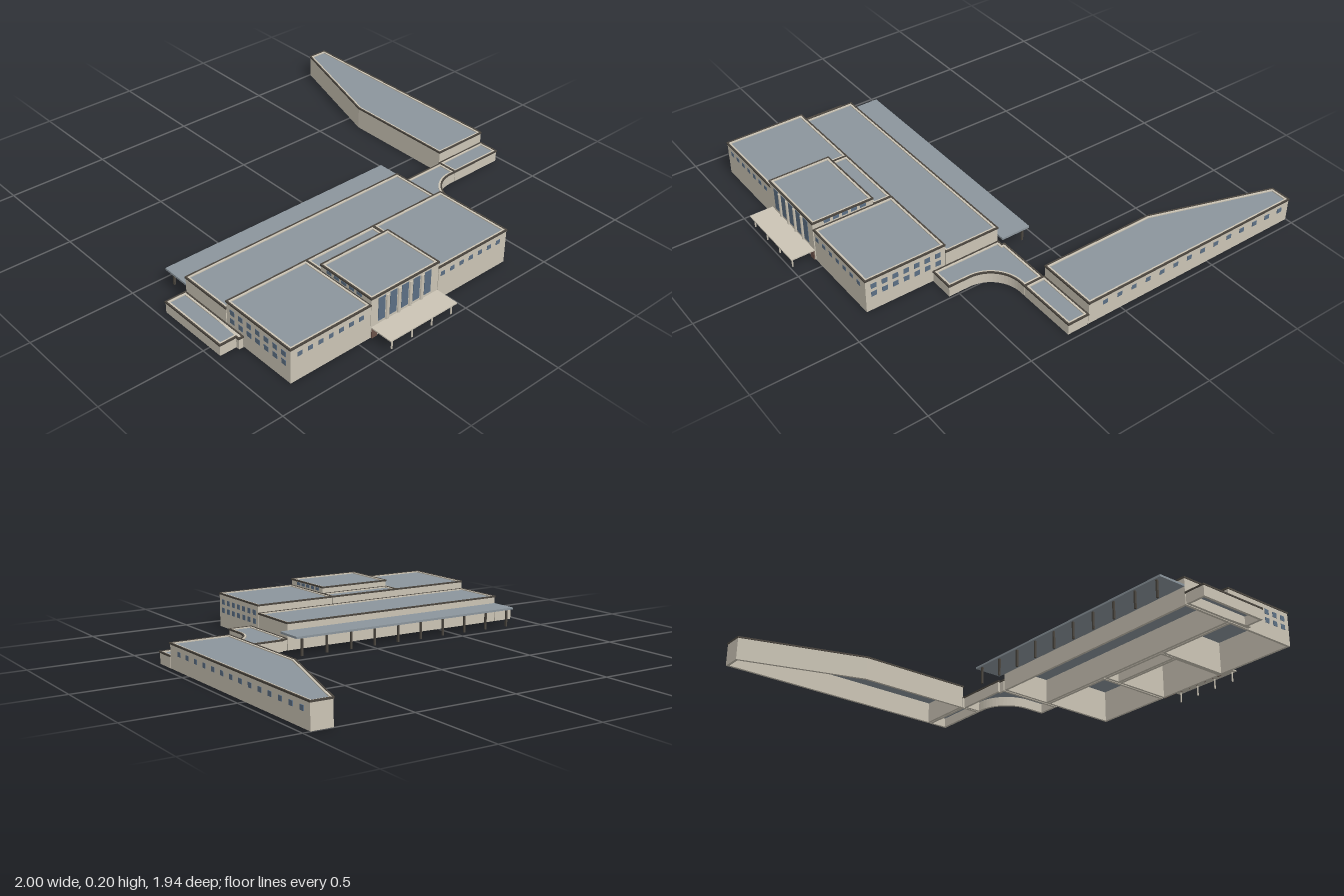
import * as THREE from 'three';

const mat = (name, color) => {
  const m = new THREE.MeshStandardMaterial({ color });
  m.name = name;
  return m;
};

export function createModel() {
  const model = new THREE.Group();
  model.name = 'building';
  const wall = mat('beige wall', 0xcbc4b5);
  const roof = mat('slate roof', 0x8b959c);
  const trim = mat('dark trim', 0x4b463f);
  const glass = mat('blue glass', 0x5c6f84);
  const brown = mat('brown entrance', 0x6a5249);

  const add = (parent, name, geo, material) => {
    const mesh = new THREE.Mesh(geo, material);
    mesh.name = name;
    parent.add(mesh);
    return mesh;
  };
  const box = (parent, name, material, x0, x1, y0, y1, z0, z1) => {
    const m = add(parent, name, new THREE.BoxGeometry(x1 - x0, y1 - y0, z1 - z0), material);
    m.position.set((x0 + x1) / 2, (y0 + y1) / 2, (z0 + z1) / 2);
    return m;
  };

  // Move an outline of [x, z] points inwards by d, with mitred corners
  const inset = (pts, d) => {
    const n = pts.length;
    let area = 0;
    pts.forEach((p, i) => {
      const q = pts[(i + 1) % n];
      area += p[0] * q[1] - q[0] * p[1];
    });
    const s = Math.sign(area);
    const normal = (a, b) => {
      const l = Math.hypot(b[0] - a[0], b[1] - a[1]);
      return [-s * (b[1] - a[1]) / l, s * (b[0] - a[0]) / l];
    };
    return pts.map((p, i) => {
      const a = normal(pts[(i + n - 1) % n], p);
      const b = normal(p, pts[(i + 1) % n]);
      const k = d / (1 + a[0] * b[0] + a[1] * b[1]);
      return [p[0] + (a[0] + b[0]) * k, p[1] + (a[1] + b[1]) * k];
    });
  };

  // Upright prism under the height top, hollow when a hole outline is given
  const prism = (outer, hole, top, depth) => {
    const v = (pts) => pts.map((p) => new THREE.Vector2(p[0], p[1]));
    const shape = new THREE.Shape(v(outer));
    if (hole) shape.holes.push(new THREE.Path(v(hole)));
    const g = new THREE.ExtrudeGeometry(shape, { depth, bevelEnabled: false });
    return g.rotateX(Math.PI / 2).translate(0, top, 0);
  };

  // Block: hollow walls, a sunken roof slab and a dark coping
  const block = (name, pts, h) => {
    const g = new THREE.Group();
    g.name = name;
    model.add(g);
    add(g, 'walls', prism(pts, inset(pts, 0.013), h, h), wall);
    add(g, 'roofSlab', prism(inset(pts, 0.012), null, h - 0.005, 0.006), roof);
    add(g, 'coping', prism(inset(pts, -0.003), inset(pts, 0.004), h + 0.002, 0.008), trim);
    return g;
  };
  const rect = (x0, x1, z0, z1) => [[x0, z0], [x1, z0], [x1, z1], [x0, z1]];

  // Main masses
  block('longHall', rect(0.2, 0.475, -0.367, 0.86), 0.131);
  const north = block('northBlock', rect(0.48, 0.88, -0.367, 0.05), 0.17);
  const south = block('southBlock', rect(0.48, 0.88, 0.438, 0.86), 0.17);
  block('middleBlock', rect(0.48, 0.572, 0.055, 0.436), 0.17);
  const tower = block('entranceTower', rect(0.575, 0.882, 0.055, 0.438), 0.202);
  block('southAnnex', [[0.2, 0.864], [0.588, 0.864], [0.588, 0.885], [0.57, 0.885],
    [0.57, 0.967], [0.2, 0.967]], 0.056);

  // Tapered wing and the link with its curved corner
  const wing = block('taperedWing', [[-0.997, -0.965], [0.178, -0.968], [0.178, -0.677],
    [-0.4, -0.677], [-0.997, -0.865]], 0.115);
  block('wingLink', rect(0.181, 0.285, -0.969, -0.677), 0.057);
  const link = [[0.187, -0.674], [0.285, -0.674]];
  for (let i = 0; i <= 14; i++) {
    const a = (i / 14) * Math.PI / 2;
    link.push([0.44 - 0.155 * Math.cos(a), -0.645 + 0.155 * Math.sin(a)]);
  }
  link.push([0.545, -0.49], [0.545, -0.372], [0.2, -0.372], [0.2, -0.4], [0.187, -0.4]);
  block('curvedLink', link, 0.057);

  // Window rows on walls facing z, or facing +x
  const rowZ = (g, count, x0, x1, y, z, w, h) => {
    for (let i = 0; i < count; i++) {
      const x = x0 + ((x1 - x0) * i) / (count - 1);
      box(g, 'window', glass, x - w / 2, x + w / 2, y - h / 2, y + h / 2, z - 0.002, z + 0.002);
    }
  };
  const rowX = (g, count, z0, z1, y, x, w, h) => {
    for (let i = 0; i < count; i++) {
      const z = z0 + ((z1 - z0) * i) / (count - 1);
      box(g, 'window', glass, x - 0.002, x + 0.002, y - h / 2, y + h / 2, z - w / 2, z + w / 2);
    }
  };
  for (const y of [0.086, 0.129]) {
    rowZ(south, 7, 0.517, 0.84, y, 0.86, 0.027, 0.025);
    rowZ(north, 7, 0.517, 0.84, y, -0.367, 0.027, 0.025);
  }
  rowX(south, 7, 0.49, 0.813, 0.129, 0.88, 0.024, 0.021);
  rowX(north, 7, -0.315, 0.025, 0.129, 0.88, 0.024, 0.021);
  rowZ(tower, 5, 0.627, 0.81, 0.186, 0.438, 0.03, 0.015);
  rowZ(tower, 5, 0.627, 0.81, 0.186, 0.055, 0.03, 0.015);
  rowX(tower, 5, 0.118, 0.38, 0.128, 0.882, 0.038, 0.115);
  rowZ(wing, 14, -0.94, 0.09, 0.078, -0.967, 0.026, 0.022);

  // Slim half-round pilasters between the tall windows
  for (let i = 0; i < 4; i++) {
    const p = add(tower, 'pilaster', new THREE.CylinderGeometry(0.008, 0.008, 0.125, 10), wall);
    p.position.set(0.882, 0.12, 0.151 + i * 0.0655);
  }

  // Entrance: canopy, posts, brown panels and door frames
  const entrance = new THREE.Group();
  entrance.name = 'entrance';
  model.add(entrance);
  box(entrance, 'entranceCanopy', wall, 0.88, 0.998, 0.05, 0.056, 0.055, 0.436);
  box(entrance, 'lintel', brown, 0.88, 0.887, 0.044, 0.05, 0.06, 0.434);
  for (const z of [0.073, 0.42]) {
    box(entrance, 'sidePanel', brown, 0.88, 0.887, 0, 0.044, z - 0.014, z + 0.014);
  }
  for (let i = 0; i < 6; i++) {
    const z = 0.12 + i * 0.0525;
    box(entrance, 'doorFrame', brown, 0.88, 0.886, 0, 0.044, z - 0.006, z + 0.006);
  }
  for (let i = 0; i < 4; i++) {
    const post = add(entrance, 'post', new THREE.CylinderGeometry(0.004, 0.004, 0.05, 8), wall);
    post.position.set(0.985, 0.025, 0.075 + i * 0.114);
  }

  // Long canopy along the rear side, on dark posts
  const canopy = new THREE.Group();
  canopy.name = 'longCanopy';
  model.add(canopy);
  box(canopy, 'canopyRoof', roof, 0.053, 0.2, 0.085, 0.095, -0.405, 0.86);
  for (let i = 0; i < 10; i++) {
    const z = -0.37 + i * 0.133;
    box(canopy, 'canopyPost', trim, 0.061, 0.07, 0, 0.085, z - 0.0045, z + 0.0045);
  }
  return model;
}
